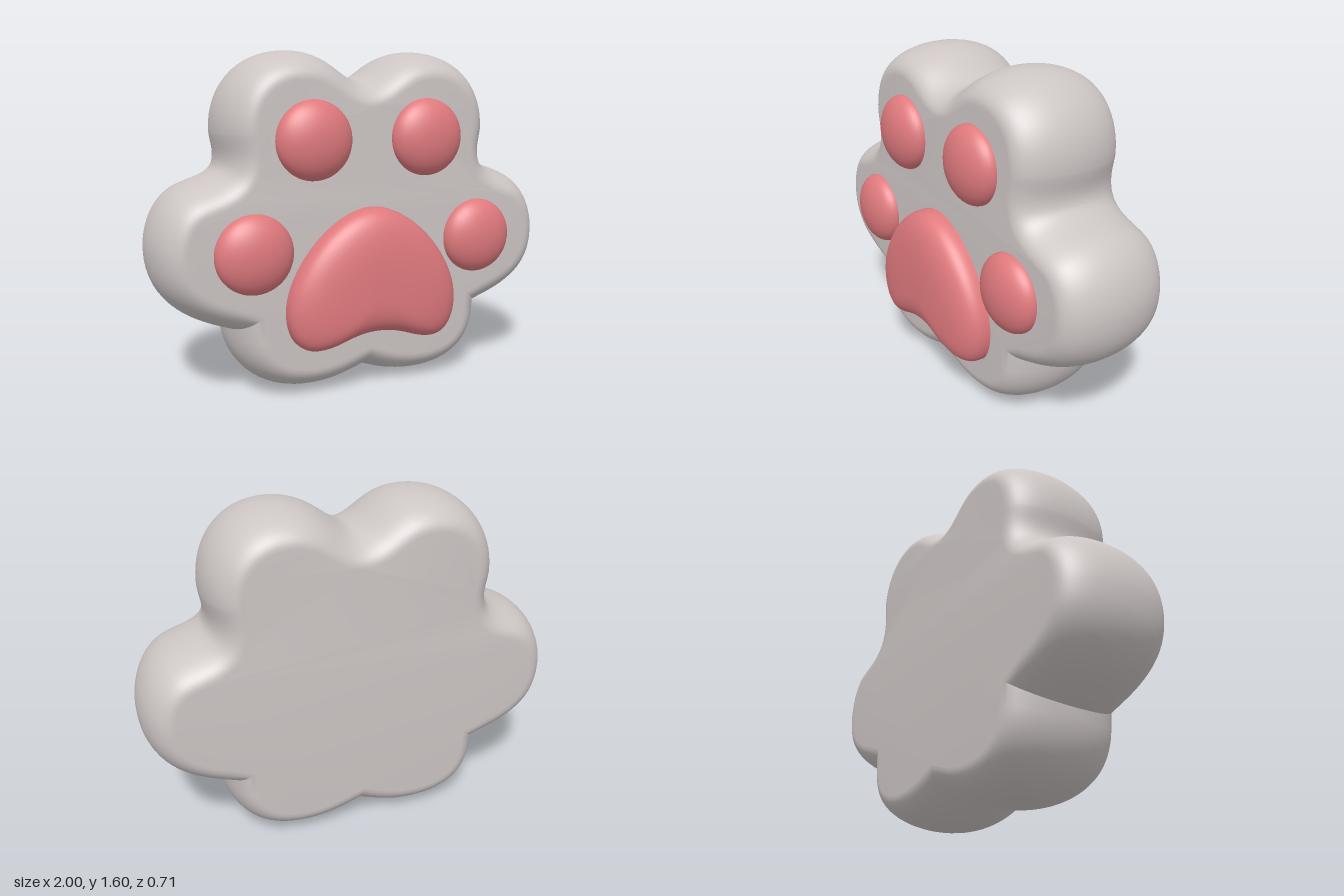
import * as THREE from 'three';
import { toCreasedNormals } from 'three/addons/utils/BufferGeometryUtils.js';

// Closed counter-clockwise outline, mirrored from the curves of its right half (top to bottom).
function mirroredOutline(start, curves, divisions) {
  const half = [];
  let from = new THREE.Vector2(...start);
  for (const [ax, ay, bx, by, cx, cy] of curves) {
    const to = new THREE.Vector2(cx, cy);
    const curve = new THREE.CubicBezierCurve(from, new THREE.Vector2(ax, ay), new THREE.Vector2(bx, by), to);
    half.push(...curve.getPoints(divisions).slice(0, -1));
    from = to;
  }
  half.push(from);
  const left = half.slice(1, -1).map((p) => new THREE.Vector2(-p.x, p.y));
  return [...left, ...half.reverse()];
}

// Mitred outward direction at each outline point.
function outwardNormals(points) {
  const n = points.length;
  const edge = (a, b) => new THREE.Vector2(b.y - a.y, a.x - b.x).normalize();
  return points.map((p, i) => {
    const before = edge(points[(i + n - 1) % n], p);
    const after = edge(p, points[(i + 1) % n]);
    const scale = 1 / (1 + before.dot(after));
    return before.add(after).multiplyScalar(scale);
  });
}

// Skin over rings stacked along z (back to front), with both ends capped.
function loft(rings) {
  const n = rings[0].points.length;
  const positions = [];
  const index = [];
  for (const { points, z } of rings) for (const p of points) positions.push(p.x, p.y, z);
  for (let i = 0; i < rings.length - 1; i++) {
    for (let j = 0; j < n; j++) {
      const a = i * n + j;
      const b = i * n + ((j + 1) % n);
      index.push(a, b, b + n, a, b + n, a + n);
    }
  }
  const last = (rings.length - 1) * n;
  for (const [a, b, c] of THREE.ShapeUtils.triangulateShape(rings[0].points, [])) index.push(a, c, b);
  for (const [a, b, c] of THREE.ShapeUtils.triangulateShape(rings.at(-1).points, [])) {
    index.push(last + a, last + b, last + c);
  }
  const geometry = new THREE.BufferGeometry();
  geometry.setAttribute('position', new THREE.Float32BufferAttribute(positions, 3));
  geometry.setIndex(index);
  return toCreasedNormals(geometry, 0.5);
}

export function createModel() {
  const grey = new THREE.MeshStandardMaterial({ color: 0xccc5c4 });
  grey.name = 'warm grey';
  const pink = new THREE.MeshStandardMaterial({ color: 0xe07a7e });
  pink.name = 'pad pink';

  const group = new THREE.Group();
  group.name = 'paw';
  const add = (name, geometry, material) => {
    const mesh = new THREE.Mesh(geometry, material);
    mesh.name = name;
    group.add(mesh);
    return mesh;
  };

  // Paw body: lobed outline with an elliptical rounded side
  const body = mirroredOutline([0, 1.475], [
    [0.08, 1.475, 0.14, 1.602, 0.325, 1.602],
    [0.54, 1.602, 0.675, 1.44, 0.675, 1.24],
    [0.675, 1.19, 0.65, 1.14, 0.665, 1.09],
    [0.68, 1.04, 0.76, 1.03, 0.83, 1.0],
    [0.95, 0.95, 1, 0.81, 1, 0.7],
    [1, 0.45, 0.8, 0.37, 0.65, 0.32],
    [0.64, 0.1, 0.48, 0, 0.28, 0],
    [0.16, 0, 0.08, 0.03, 0, 0.06],
  ], 16);
  const normals = outwardNormals(body);
  const bodyRings = [];
  const steps = 28;
  for (let i = 0; i <= steps; i++) {
    const t = (i / steps - 0.5) * Math.PI;
    const inset = 0.13 * (1 - Math.cos(t));
    bodyRings.push({
      points: body.map((p, j) => p.clone().addScaledVector(normals[j], -inset)),
      z: -0.072 + 0.282 * Math.sin(t),
    });
  }
  add('pawBody', loft(bodyRings), grey);

  // Main pad: bean outline swelling to a flattened dome
  const pad = mirroredOutline([0, 0.885], [
    [0.2, 0.885, 0.43, 0.62, 0.43, 0.42],
    [0.43, 0.31, 0.38, 0.23, 0.29, 0.235],
    [0.19, 0.24, 0.14, 0.295, 0, 0.295],
  ], 20);
  const centre = new THREE.Vector2(0, 0.5);
  const padRings = [{ points: pad, z: 0.19 }];
  for (let i = 0; i < 24; i++) {
    const t = (i / 24) * Math.PI / 2;
    const scale = Math.cos(t) ** (2 / 3);
    padRings.push({
      points: pad.map((p) => p.clone().sub(centre).multiplyScalar(scale).add(centre)),
      z: 0.21 + 0.145 * Math.sin(t) ** (2 / 3),
    });
  }
  add('mainPad', loft(padRings), pink);

  // Toe pads: flattened spheres half sunk in the front
  const toeGeometry = new THREE.SphereGeometry(0.182, 40, 28);
  for (const [side, sign] of [['left', 1], ['right', -1]]) {
    for (const [place, x, y] of [['Inner', 0.285, 1.2], ['Outer', 0.572, 0.705]]) {
      const toe = add(`${side}${place}ToePad`, toeGeometry, pink);
      toe.position.set(sign * x, y, 0.21);
      toe.scale.z = 0.53;
    }
  }
  return group;
}
